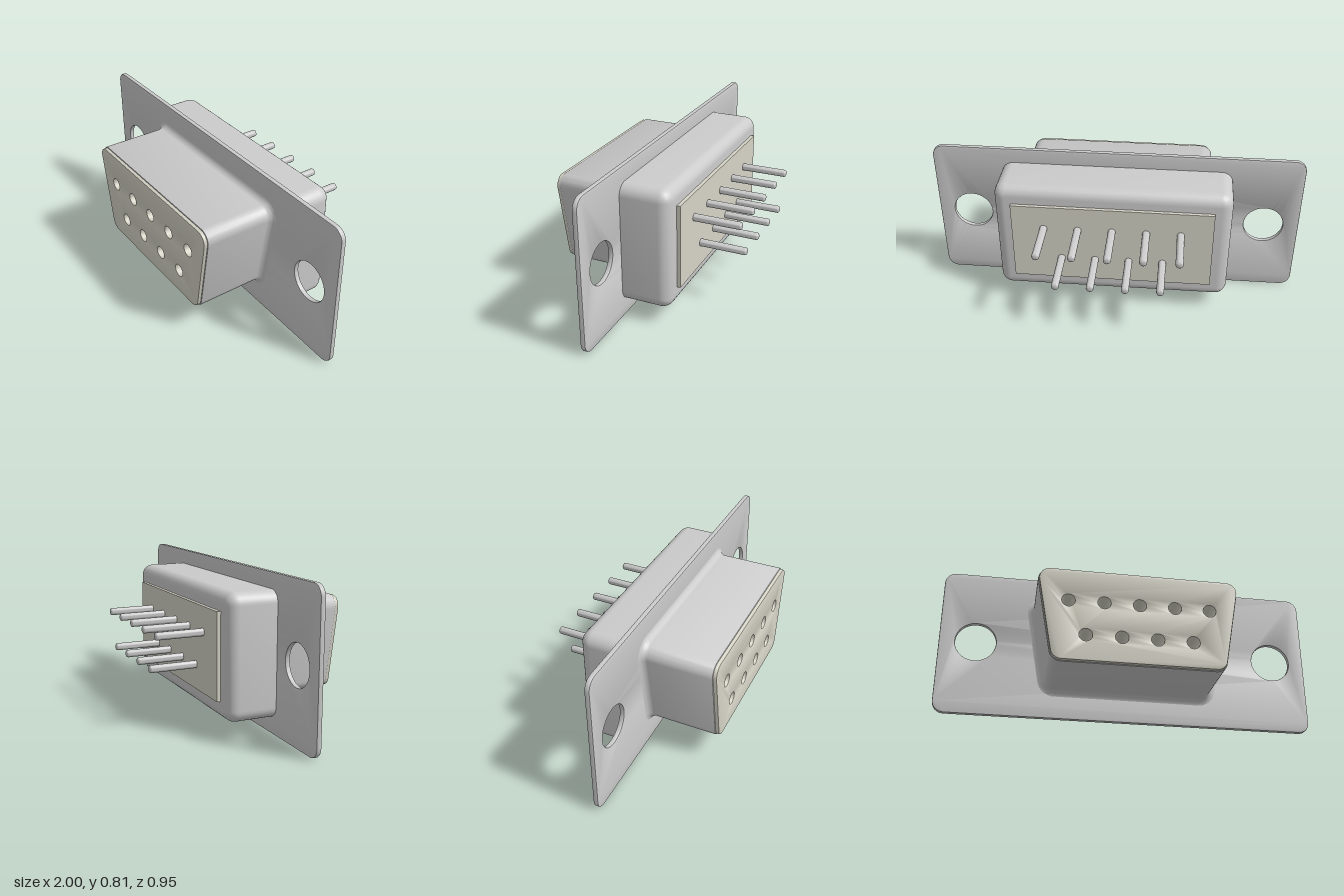
import * as THREE from 'three';
import { toCreasedNormals } from 'three/addons/utils/BufferGeometryUtils.js';

const grey = new THREE.MeshStandardMaterial({ color: 0xcccccc });
const greyDouble = new THREE.MeshStandardMaterial({ color: 0xcccccc, side: THREE.DoubleSide });
const cream = new THREE.MeshStandardMaterial({ color: 0xd6d4c6 });

// Counterclockwise outline: a convex core polygon grown outwards by r with round corners
function ring(core, r, steps = 8) {
  const pts = [];
  core.forEach(([x, y], i) => {
    const [px, py] = core[(i + core.length - 1) % core.length];
    const [nx, ny] = core[(i + 1) % core.length];
    const a0 = Math.atan2(y - py, x - px) - Math.PI / 2;
    let a1 = Math.atan2(ny - y, nx - x) - Math.PI / 2;
    while (a1 < a0) a1 += Math.PI * 2;
    for (let k = 0; k <= steps; k++) {
      const a = a0 + ((a1 - a0) * k) / steps;
      pts.push(new THREE.Vector2(x + r * Math.cos(a), y + r * Math.sin(a)));
    }
  });
  return pts;
}

// Skin through rings given as [r, z] with z rising; optional flat cap on the first ring
function loft(core, profile, capStart = false) {
  const pos = [], idx = [];
  const n = ring(core, 1).length;
  for (const [r, z] of profile) for (const p of ring(core, r)) pos.push(p.x, p.y, z);
  for (let j = 0; j < profile.length - 1; j++) {
    for (let i = 0; i < n; i++) {
      const a = j * n + i, b = j * n + ((i + 1) % n);
      idx.push(a, b, b + n, a, b + n, a + n);
    }
  }
  if (capStart) for (let i = 1; i < n - 1; i++) idx.push(0, i + 1, i);
  const g = new THREE.BufferGeometry();
  g.setAttribute('position', new THREE.Float32BufferAttribute(pos, 3));
  g.setIndex(idx);
  return toCreasedNormals(g, 0.6);
}

function circle(x, y, r) {
  return new THREE.Path().absarc(x, y, r, 0, Math.PI * 2, true);
}

// Plate between two z values with slightly softened edges
function plate(outline, holes, z0, z1, bevel) {
  const shape = new THREE.Shape(outline);
  shape.holes = holes;
  const g = new THREE.ExtrudeGeometry(shape, {
    depth: z1 - z0 - 2 * bevel, curveSegments: 24,
    bevelThickness: bevel, bevelSize: bevel, bevelOffset: -bevel, bevelSegments: 2,
  });
  g.translate(0, 0, z0 + bevel);
  return toCreasedNormals(g, 0.6);
}

// Quarter-round profile steps
function quarter(steps, fn) {
  return Array.from({ length: steps + 1 }, (_, i) => fn((i / steps) * Math.PI / 2));
}

export function createModel() {
  const model = new THREE.Group();
  const add = (name, geometry, material = grey, parent = model) => {
    const mesh = new THREE.Mesh(geometry, material);
    mesh.name = name;
    parent.add(mesh);
    return mesh;
  };

  // Mounting flange with two screw holes
  const flangeCore = [[-0.94, 0.06], [0.94, 0.06], [0.94, 0.75], [-0.94, 0.75]];
  add('flange', plate(ring(flangeCore, 0.06), [-0.81, 0.81].map((x) => circle(x, 0.405, 0.107)),
    0.055, 0.081, 0.005));

  // D-shaped front shell, flared into the flange and rolled over at the rim
  const dCore = [[-0.386, 0.212], [0.386, 0.212], [0.455, 0.602], [-0.455, 0.602]];
  add('frontShell', loft(dCore, [
    ...quarter(8, (t) => [0.1 - 0.04 * Math.sin(t), 0.12 - 0.04 * Math.cos(t)]),
    [0.06, 0.451], [0.058, 0.455], [0.053, 0.457], [0.04, 0.457],
  ]), greyDouble);

  // Contact positions: five above, four below
  const contacts = [];
  for (let i = 0; i < 5; i++) contacts.push([(i - 2) * 0.18, 0]);
  for (let i = 0; i < 4; i++) contacts.push([(i - 1.5) * 0.18, -0.185]);

  // Front insulator with its sockets and their floor
  add('frontInsulator', plate(ring(dCore, 0.054),
    contacts.map(([x, y]) => circle(x, 0.481 + y, 0.033)), 0.28, 0.475, 0.004), cream);
  const floor = new THREE.ShapeGeometry(new THREE.Shape(ring(dCore, 0.05)));
  add('socketFloor', floor.translate(0, 0, 0.285), cream);

  // Rear housing with rounded corners and back edges
  const rearCore = [[-0.56, 0.149], [0.56, 0.149], [0.56, 0.666], [-0.56, 0.666]];
  add('rearHousing', loft(rearCore, [
    ...quarter(8, (t) => [0.002 + 0.06 * Math.sin(t), -0.143 - 0.06 * Math.cos(t)]),
    [0.062, 0.057],
  ], true));

  // Rear insulator plate
  add('rearInsulator', new THREE.BoxGeometry(1.06, 0.447, 0.03).translate(0, 0.4085, -0.207), cream);

  // Solder pins with softened tips
  const pinProfile = [[0.02, 0], [0.02, 0.257], [0.018, 0.262], [0.013, 0.265], [0, 0.265]]
    .map(([r, y]) => new THREE.Vector2(r, y));
  const pinGeometry = toCreasedNormals(new THREE.LatheGeometry(pinProfile, 20).rotateX(-Math.PI / 2), 0.7);
  const pins = new THREE.Group();
  pins.name = 'pins';
  model.add(pins);
  for (const [x, y] of contacts) add('pin', pinGeometry, grey, pins).position.set(x, 0.5 + y, -0.21);

  return model;
}
